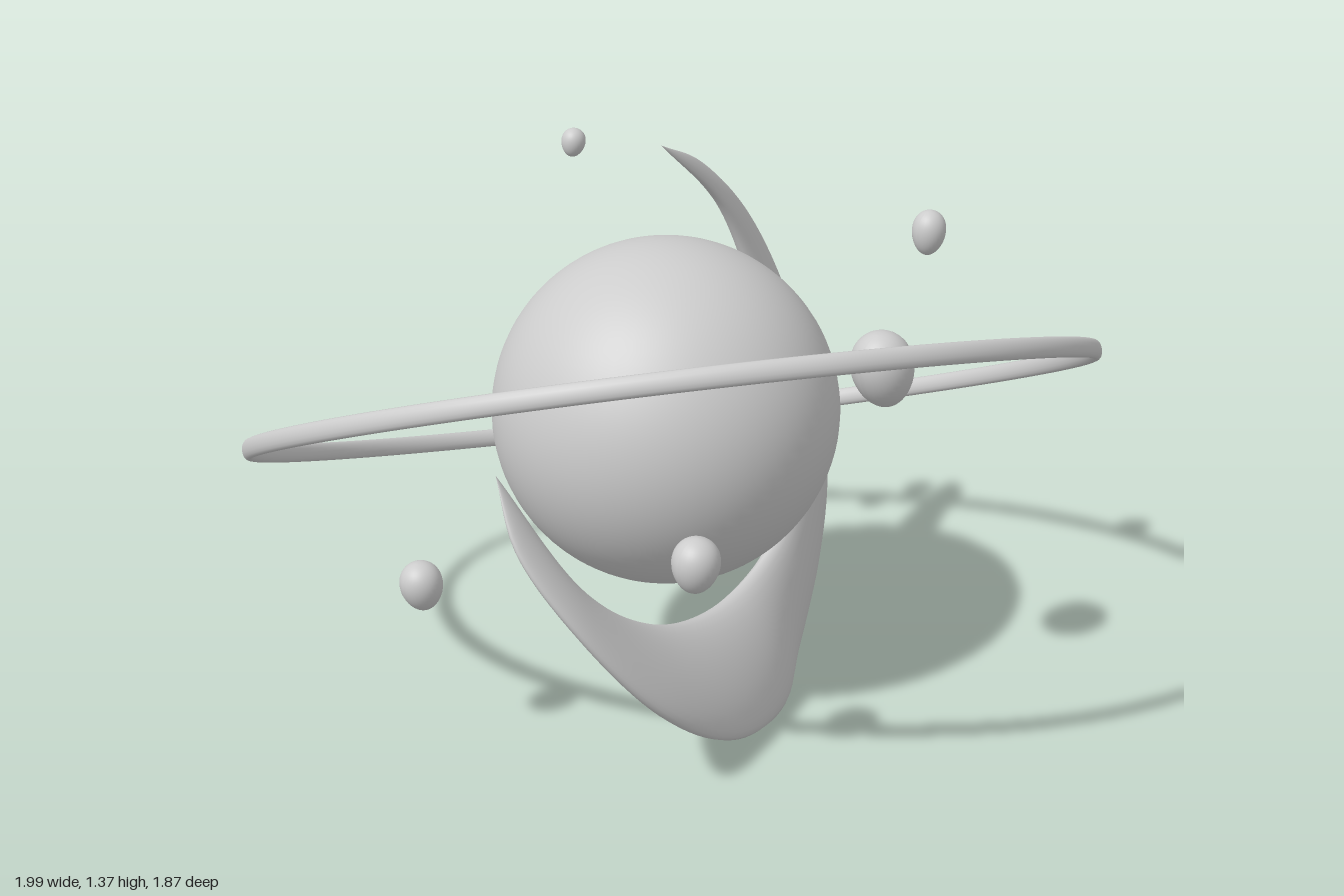
import * as THREE from 'three';

const V = (p) => new THREE.Vector3(...p);
const stone = new THREE.MeshStandardMaterial({ color: 0xcccccc });
stone.name = 'pale grey';

function add(group, name, geometry, pos = [0, 0, 0]) {
  const mesh = new THREE.Mesh(geometry, stone);
  mesh.name = name;
  mesh.position.set(...pos);
  group.add(mesh);
  return mesh;
}

// Crescent: lens-shaped cross-sections strung between an outer and an inner edge
function crescentGeometry() {
  const tipA = [0.13, 1.35, -0.185], tipB = [-0.625, 0.83, 0.12];
  const outer = new THREE.CatmullRomCurve3([
    tipA, [0.33, 1.245, -0.27], [0.52, 1.06, -0.31], [0.636, 0.84, -0.3], [0.683, 0.6, -0.25],
    [0.636, 0.33, -0.135], [0.49, 0.145, -0.015], [0.28, 0.03, 0.14], [0.13, 0.002, 0.26],
    [-0.12, 0.06, 0.365], [-0.36, 0.225, 0.4], [-0.55, 0.465, 0.335], [-0.645, 0.68, 0.215], tipB,
  ].map(V));
  const inner = new THREE.CatmullRomCurve3([
    tipA, [0.36, 1.14, -0.22], [0.465, 0.9, -0.205], [0.478, 0.735, -0.14], [0.43, 0.55, -0.015],
    [0.28, 0.385, 0.09], [0, 0.312, 0.175], [-0.257, 0.365, 0.225], [-0.47, 0.525, 0.225], tipB,
  ].map(V));
  const rows = 96, sides = 28, pos = [], index = [];
  for (let i = 0; i <= rows; i++) {
    const u = i / rows;
    const a = outer.getPointAt(u), b = inner.getPointAt(u);
    const mid = a.clone().add(b).multiplyScalar(0.5);
    const half = a.clone().sub(b).multiplyScalar(0.5);
    const tangent = outer.getTangentAt(u).add(inner.getTangentAt(u));
    const normal = tangent.cross(half).normalize().multiplyScalar(half.length() * 0.3);
    for (let j = 0; j < sides; j++) {
      const t = (j / sides) * Math.PI * 2;
      const p = mid.clone().addScaledVector(half, Math.cos(t)).addScaledVector(normal, Math.sin(t));
      pos.push(p.x, p.y, p.z);
      if (i < rows) {
        const k = i * sides + j, n = i * sides + (j + 1) % sides;
        index.push(k, n, k + sides, n, n + sides, k + sides);
      }
    }
  }
  const g = new THREE.BufferGeometry();
  g.setAttribute('position', new THREE.Float32BufferAttribute(pos, 3));
  g.setIndex(index);
  g.computeVertexNormals();
  return g;
}

// Pebble: an egg, broader at the top, with a slight lean
function pebbleGeometry(rx, ry) {
  const g = new THREE.SphereGeometry(1, 32, 24);
  const p = g.attributes.position;
  for (let i = 0; i < p.count; i++) {
    const x = p.getX(i), y = p.getY(i), z = p.getZ(i);
    const f = 1 + 0.12 * y;
    p.setXYZ(i, rx * x * f, ry * y, rx * z * f);
  }
  g.computeVertexNormals();
  return g;
}

export function createModel() {
  const model = new THREE.Group();
  model.name = 'ringedPlanet';

  add(model, 'planet', new THREE.SphereGeometry(0.415, 64, 48), [-0.02, 0.77, 0]);

  // Tilted ring, taller than it is wide in section
  const ring = add(model, 'ring', new THREE.TorusGeometry(1.004, 0.014, 16, 160), [0, 0.78, 0]);
  ring.scale.z = 1.65;
  ring.quaternion.setFromUnitVectors(new THREE.Vector3(0, 0, 1), V([0.204, 0.891, -0.405]).normalize());

  add(model, 'crescent', crescentGeometry());

  // Floating pebbles: position, half width, half height, lean
  const pebbles = [
    [[0.02, 1.335, -0.38], 0.029, 0.035, -0.2],
    [[0.625, 1.125, 0.232], 0.041, 0.056, -0.1],
    [[0.23, 0.95, 0.465], 0.073, 0.095, 0.25],
    [[-0.318, 0.625, 0.435], 0.055, 0.066, -0.1],
    [[-0.65, 0.46, -0.145], 0.05, 0.062, 0.15],
    [[0.787, 0.613, -0.358], 0.035, 0.051, 0.1],
  ];
  pebbles.forEach(([pos, rx, ry, lean], i) => {
    add(model, `pebble${i + 1}`, pebbleGeometry(rx, ry), pos).rotation.z = lean;
  });
  return model;
}
